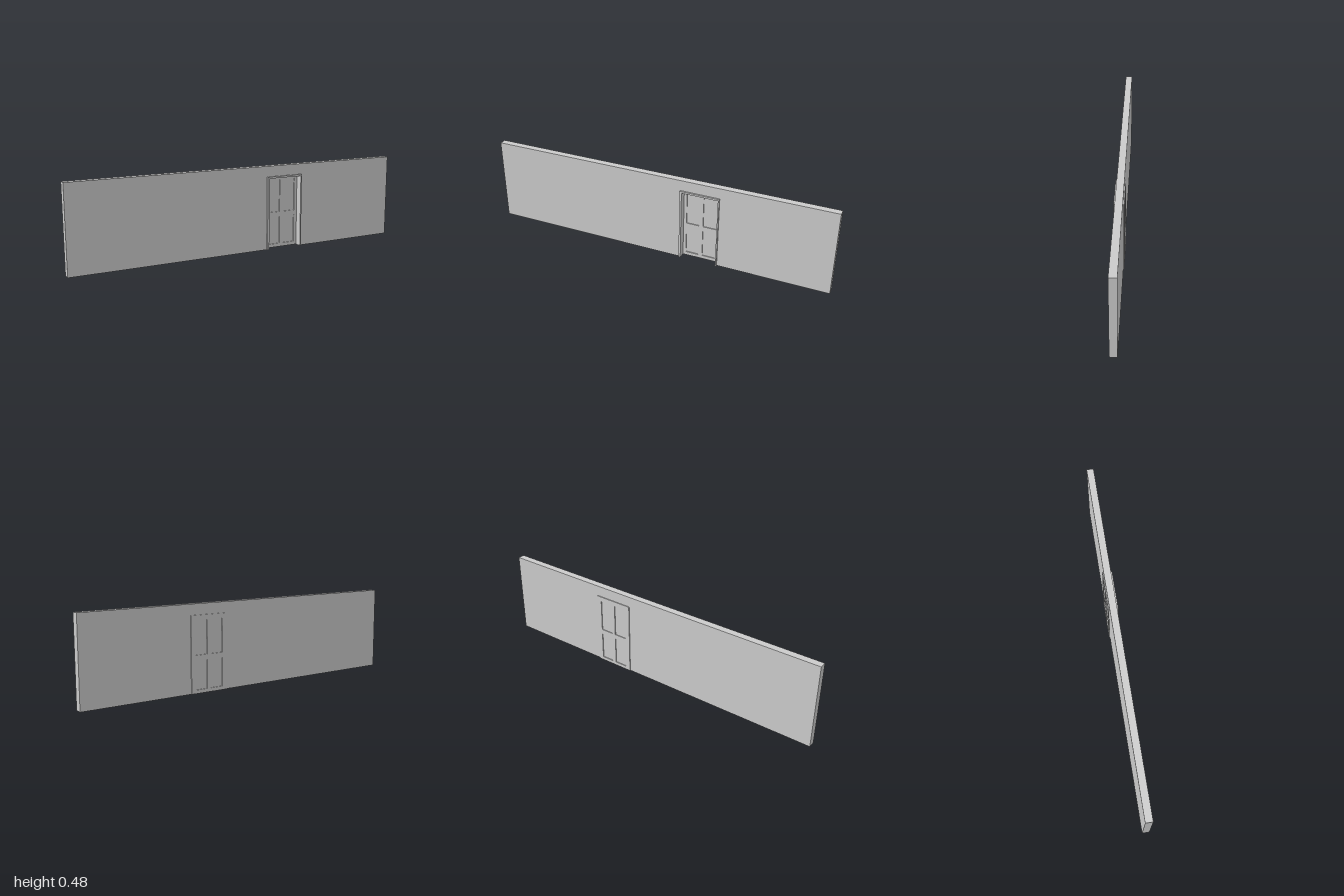
import * as THREE from 'three';

const material = new THREE.MeshStandardMaterial({ color: 0xcccccc, flatShading: true });

// Extrudes a list of [x, y] corners (and rectangular holes) from z0 to z1
function slab(name, corners, z0, z1, holes = []) {
  const toPoints = list => list.map(([x, y]) => new THREE.Vector2(x, y));
  const shape = new THREE.Shape(toPoints(corners));
  for (const hole of holes) shape.holes.push(new THREE.Path(toPoints(hole)));
  const geometry = new THREE.ExtrudeGeometry(shape, { depth: z1 - z0, bevelEnabled: false });
  geometry.translate(0, 0, z0);
  const mesh = new THREE.Mesh(geometry, material);
  mesh.name = name;
  return mesh;
}

const rect = (x0, x1, y0, y1) => [[x0, y0], [x1, y0], [x1, y1], [x0, y1]];

// Outline of a slab with a doorway cut up from its lower edge
const arch = (x0, x1, top, a, b, h) =>
  [[x0, 0], [a, 0], [a, h], [b, h], [b, 0], [x1, 0], [x1, top], [x0, top]];

export function createModel() {
  const group = new THREE.Group();
  group.name = 'wallWithDoor';

  const outer = { x0: 0.146, x1: 0.371, top: 0.42 };
  const inner = { x0: 0.157, x1: 0.364, top: 0.41 };

  // Long wall and the lining that stands proud of it on both sides
  group.add(slab('wall', arch(-1, 1, 0.48, outer.x0, outer.x1, outer.top), -0.022, 0.018));
  group.add(slab('doorFrame',
    arch(outer.x0, outer.x1, outer.top, inner.x0, inner.x1, inner.top), -0.027, 0.028));

  // Door leaf, flush with the back of the frame
  const door = new THREE.Group();
  door.name = 'door';
  const columns = [[0.174, 0.249], [0.271, 0.346]];
  const rows = [[0.02, 0.178], [0.207, 0.393]];
  const panels = columns.flatMap(c => rows.map(r => rect(...c, ...r)));
  door.add(slab('stilesAndRails',
    rect(inner.x0, inner.x1, 0, inner.top), -0.027, -0.013, panels));

  // Recessed panels
  for (const panel of panels) door.add(slab('panel', panel, -0.022, -0.018));

  // Small handle plates on both faces
  for (const z of [-0.0275, -0.0125])
    door.add(slab('handlePlate', rect(0.163, 0.168, 0.182, 0.202), z - 0.001, z + 0.001));

  group.add(door);
  return group;
}
